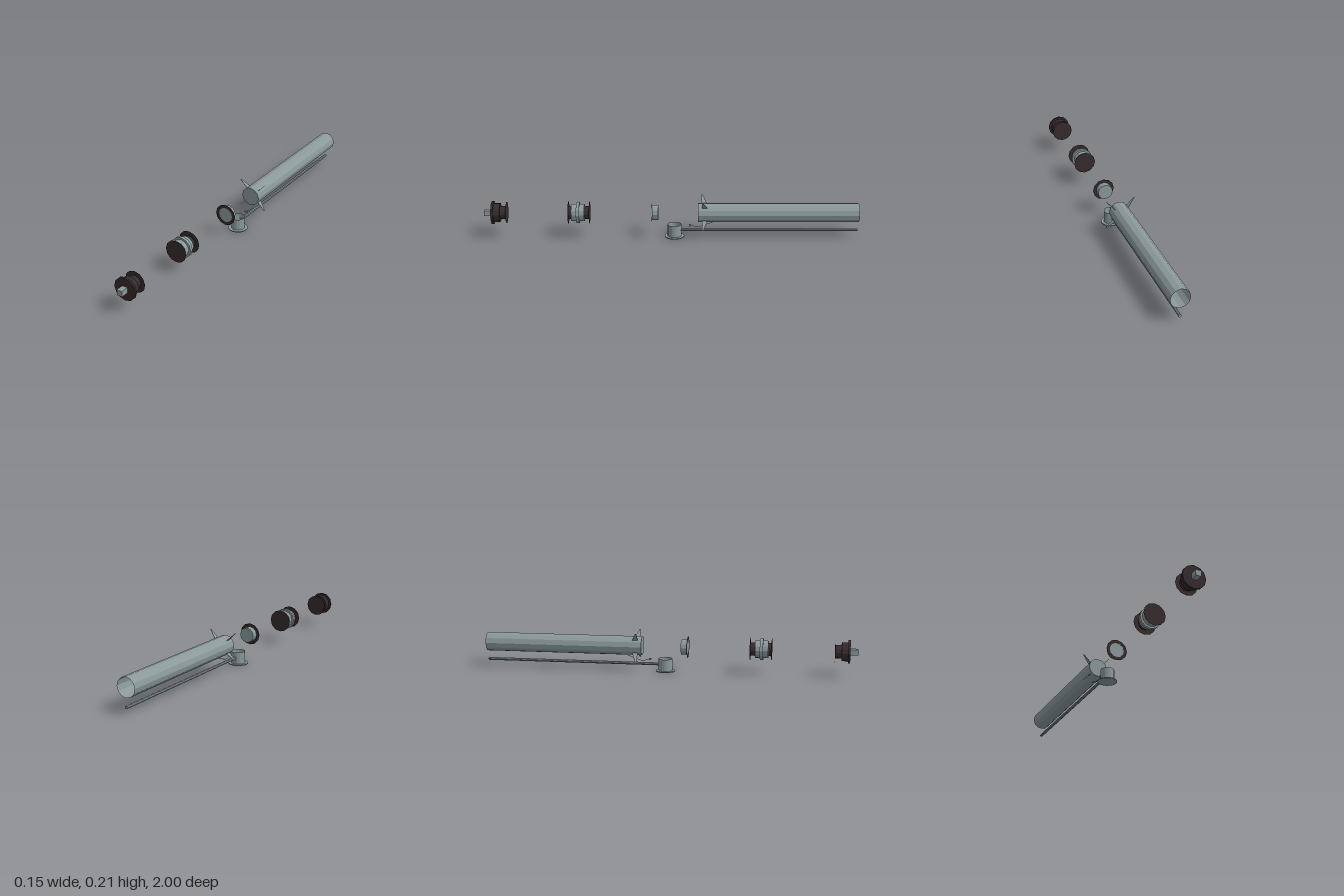
import * as THREE from 'three';

const AXIS = 0.135; // height of the shared tube axis

export function createModel() {
  const model = new THREE.Group();
  const flat = { flatShading: true, side: THREE.DoubleSide };
  const steel = new THREE.MeshStandardMaterial({ color: 0x8b999b, ...flat });
  steel.name = 'steel grey';
  const dark = new THREE.MeshStandardMaterial({ color: 0x352b2c, ...flat });
  dark.name = 'dark brown';

  const add = (name, geometry, material, x = 0, y = 0, z = 0) => {
    const mesh = new THREE.Mesh(geometry, material);
    mesh.name = name;
    mesh.position.set(x, y, z);
    model.add(mesh);
    return mesh;
  };

  // Cylinder lying along z between two depths
  const barrel = (name, r, z0, z1, material, y = AXIS, open = false, sides = 12) => {
    const g = new THREE.CylinderGeometry(r, r, z1 - z0, sides, 1, open).rotateX(Math.PI / 2);
    return add(name, g, material, 0, y, (z0 + z1) / 2);
  };
  // Flat disc or ring facing z
  const disc = (name, r, z, material, inner = 0) => {
    const g = inner
      ? new THREE.RingGeometry(inner, r, 12)
      : new THREE.CircleGeometry(r, 12);
    return add(name, g, material, 0, AXIS, z);
  };

  // Long tube: closed at the front, open at the back
  barrel('longTube', 0.0515, -1, -0.142, steel, AXIS, true);
  disc('tubeFrontCap', 0.0515, -0.142, steel);

  // Four tapered diagonal fins
  const finShape = new THREE.Shape([
    new THREE.Vector2(0.049, 0.162), new THREE.Vector2(0.1085, 0.162),
    new THREE.Vector2(0.1085, 0.169), new THREE.Vector2(0.049, 0.192),
  ]);
  const finGeometry = new THREE.ExtrudeGeometry(finShape, { depth: 0.0016, bevelEnabled: false })
    .translate(0, 0, -0.0008).rotateX(-Math.PI / 2);
  for (let i = 0; i < 4; i++) {
    add('fin', finGeometry, steel, 0, AXIS, 0).rotation.z = Math.PI / 4 + (i * Math.PI) / 2;
  }

  // Round base cup with flange, and the thin rod leading back from it
  add('baseFlange', new THREE.CylinderGeometry(0.0525, 0.0525, 0.005, 20), steel, 0, 0.0025, -0.017);
  add('baseCup', new THREE.CylinderGeometry(0.037, 0.037, 0.064, 16, 1, true), steel, 0, 0.037, -0.017);
  barrel('rod', 0.008, -1, -0.048, steel, 0.038, false, 8);

  // Small clip with a fine wire
  add('clip', new THREE.BoxGeometry(0.016, 0.008, 0.012), steel, 0, 0.064, -0.1);
  const wire = new THREE.CatmullRomCurve3([
    new THREE.Vector3(0, 0.064, -0.1), new THREE.Vector3(0, 0.055, -0.14),
    new THREE.Vector3(0, 0.062, -0.17), new THREE.Vector3(0, 0.083, -0.225),
  ]);
  add('wire', new THREE.TubeGeometry(wire, 10, 0.0014, 4), steel);

  // Front cap with a flat dark rim
  barrel('capBody', 0.041, 0.07, 0.104, steel);
  disc('capRim', 0.059, 0.1045, dark, 0.041);

  // Middle coupling: collar, flange and dark plugs with end plates
  barrel('couplingPlugs', 0.036, 0.438, 0.55, dark);
  barrel('couplingCollar', 0.047, 0.464, 0.534, steel);
  barrel('couplingFlange', 0.058, 0.49, 0.507, steel);
  disc('couplingFrontPlate', 0.0615, 0.5505, dark);
  disc('couplingBackPlate', 0.0615, 0.4375, dark);

  // Nose plug: stepped dark body with a square key
  barrel('plugEnd', 0.036, 0.881, 0.914, dark);
  disc('plugBackPlate', 0.059, 0.8805, dark);
  barrel('plugStep', 0.0505, 0.914, 0.948, dark);
  barrel('plugFlange', 0.0625, 0.948, 0.959, dark);
  add('plugKey', new THREE.BoxGeometry(0.03, 0.03, 0.041), steel, 0, AXIS, 0.9795);

  return model;
}
